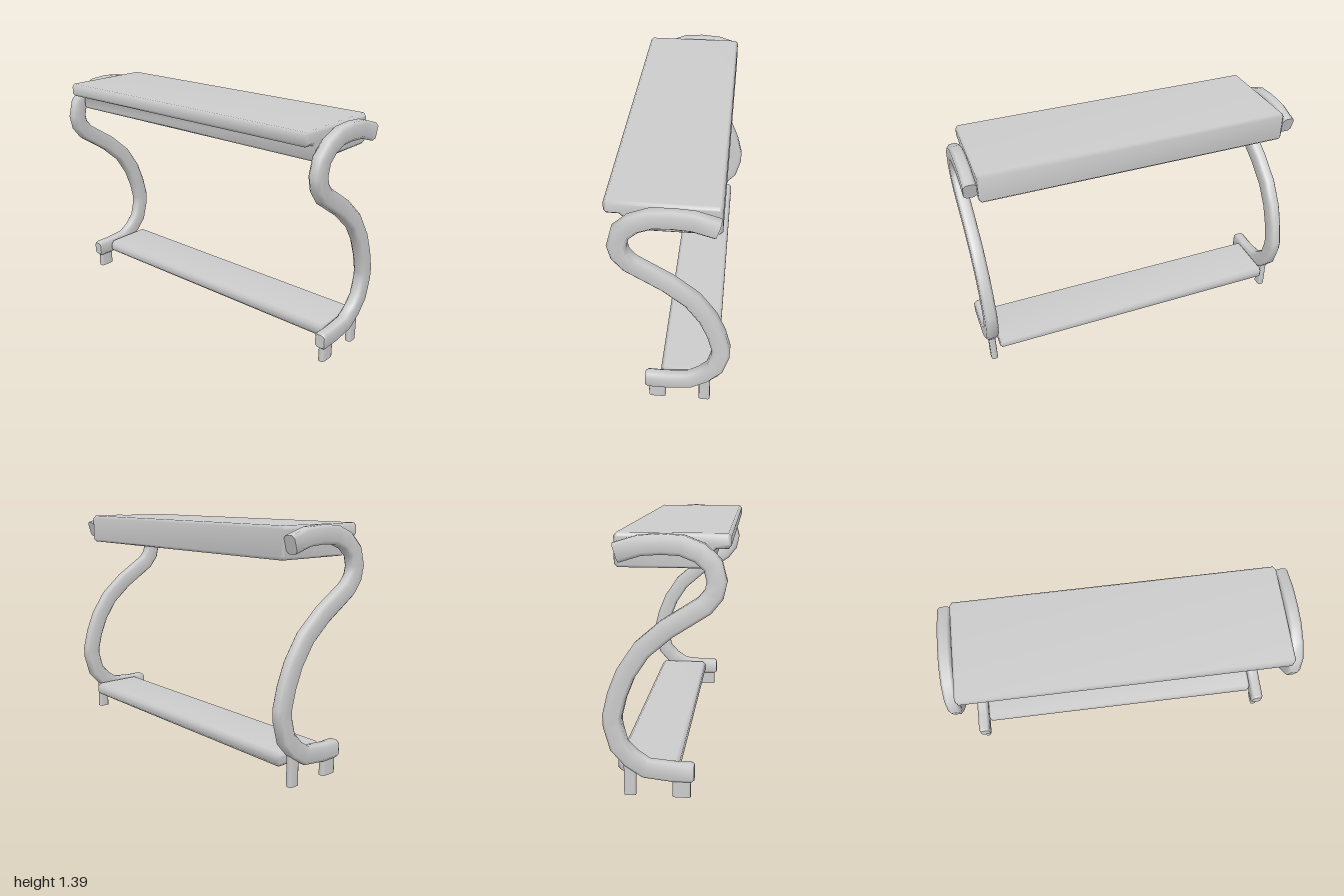
import * as THREE from 'three';
import { mergeVertices } from 'three/addons/utils/BufferGeometryUtils.js';

const material = new THREE.MeshStandardMaterial({ color: 0xcccccc });
const openMaterial = new THREE.MeshStandardMaterial({ color: 0xcccccc, side: THREE.DoubleSide });

// Long board along x from a [z, y] profile, with soft chamfered ends
function board(name, profile, length) {
  const shape = new THREE.Shape(profile.map(([z, y]) => new THREE.Vector2(-z, y)));
  const b = 0.014;
  let geo = new THREE.ExtrudeGeometry(shape, {
    depth: length - 2 * b, bevelThickness: b, bevelSize: b, bevelOffset: -b, bevelSegments: 1,
  });
  geo.translate(0, 0, -(length - 2 * b) / 2).rotateY(Math.PI / 2);
  geo.deleteAttribute('uv');
  geo.deleteAttribute('normal');
  geo = mergeVertices(geo, 1e-4);
  geo.computeVertexNormals();
  const mesh = new THREE.Mesh(geo, material);
  mesh.name = name;
  return mesh;
}

// Octagonal section: half width w, half height h, corner cut c
const octagon = (w, h, c) => [
  [w, -h + c], [w, h - c], [w - c, h], [-w + c, h],
  [-w, h - c], [-w, -h + c], [-w + c, -h], [w - c, -h],
];

// Sweeps a section along a path of [z, y, scale] points in the side plane
function sweep(path, section) {
  const pts = path.map(([z, y]) => new THREE.Vector2(z, y));
  const last = pts.length - 1, n = section.length;
  const pos = [], idx = [];
  const dir = (i) => pts[i + 1].clone().sub(pts[i]).normalize();
  pts.forEach((p, i) => {
    const t = new THREE.Vector2();
    if (i > 0) t.add(dir(i - 1));
    if (i < last) t.add(dir(i));
    t.normalize();
    const s = path[i][2] ?? 1;
    for (const [u, v] of section) pos.push(u * s, p.y + t.x * v * s, p.x - t.y * v * s);
  });
  for (let i = 0; i < last; i++) {
    for (let j = 0; j < n; j++) {
      const a = i * n + j, b = i * n + (j + 1) % n;
      idx.push(a, b, b + n, a, b + n, a + n);
    }
  }
  // End caps on their own vertices, so the cut stays crisp
  for (const end of [0, last]) {
    const base = pos.length / 3;
    pos.push(...pos.slice(end * n * 3, (end + 1) * n * 3));
    for (let j = 1; j < n - 1; j++) {
      if (end) idx.push(base, base + j, base + j + 1);
      else idx.push(base, base + j + 1, base + j);
    }
  }
  const geo = new THREE.BufferGeometry();
  geo.setAttribute('position', new THREE.Float32BufferAttribute(pos, 3));
  geo.setIndex(idx);
  geo.computeVertexNormals();
  return geo;
}

// Short foot, open underneath
function foot(name, z, depth, height) {
  const path = new THREE.CylinderGeometry(1, 1, height, 12, 1, true);
  const p = path.attributes.position;
  // Square the round section off towards a rounded rectangle
  const square = (v) => Math.sign(v) * Math.pow(Math.abs(v), 0.5);
  for (let i = 0; i < p.count; i++) {
    const x = Math.abs(p.getX(i)) < 1e-6 ? 0 : p.getX(i);
    const q = Math.abs(p.getZ(i)) < 1e-6 ? 0 : p.getZ(i);
    p.setXYZ(i, square(x) * 0.021, p.getY(i) + height / 2, square(q) * depth / 2);
  }
  path.computeVertexNormals();
  const mesh = new THREE.Mesh(path, openMaterial);
  mesh.name = name;
  mesh.position.z = z;
  return mesh;
}

export function createModel() {
  const model = new THREE.Group();
  model.name = 'bench';

  // Top board with a thick step underneath
  model.add(board('topBoard', [
    [-0.26, 1.228], [-0.243, 1.211], [0.218, 1.211], [0.235, 1.228],
    [0.235, 1.29], [0.255, 1.31], [0.315, 1.31], [0.33, 1.328],
    [0.33, 1.372], [0.315, 1.388], [-0.243, 1.388], [-0.26, 1.37],
  ], 1.845));

  // Low shelf between the legs
  model.add(board('lowerShelf', [
    [-0.26, 0.125], [-0.24, 0.105], [0.05, 0.105], [0.07, 0.125],
    [0.07, 0.165], [0.05, 0.185], [-0.24, 0.185], [-0.26, 0.165],
  ], 1.845));

  // S-curved side frames, each on two feet
  const frameGeometry = sweep([
    [0.155, 0.14, 0.8], [0.14, 0.14], [0.04, 0.139], [-0.1, 0.153], [-0.18, 0.206],
    [-0.243, 0.276], [-0.273, 0.387], [-0.275, 0.442], [-0.247, 0.556],
    [-0.2, 0.674], [-0.116, 0.8], [0.013, 0.912], [0.203, 1.035],
    [0.25, 1.094], [0.264, 1.158], [0.243, 1.238], [0.18, 1.296],
    [0.09, 1.332], [-0.01, 1.338], [-0.12, 1.33], [-0.24, 1.293],
  ], octagon(0.0375, 0.051, 0.017));
  for (const side of [1, -1]) {
    const frame = new THREE.Group();
    frame.name = side > 0 ? 'leftFrame' : 'rightFrame';
    const leg = new THREE.Mesh(frameGeometry, material);
    leg.name = 'curvedLeg';
    frame.add(leg, foot('frontFoot', 0.088, 0.1, 0.12), foot('rearFoot', -0.188, 0.066, 0.19));
    frame.position.x = side * 0.9625;
    model.add(frame);
  }
  return model;
}
